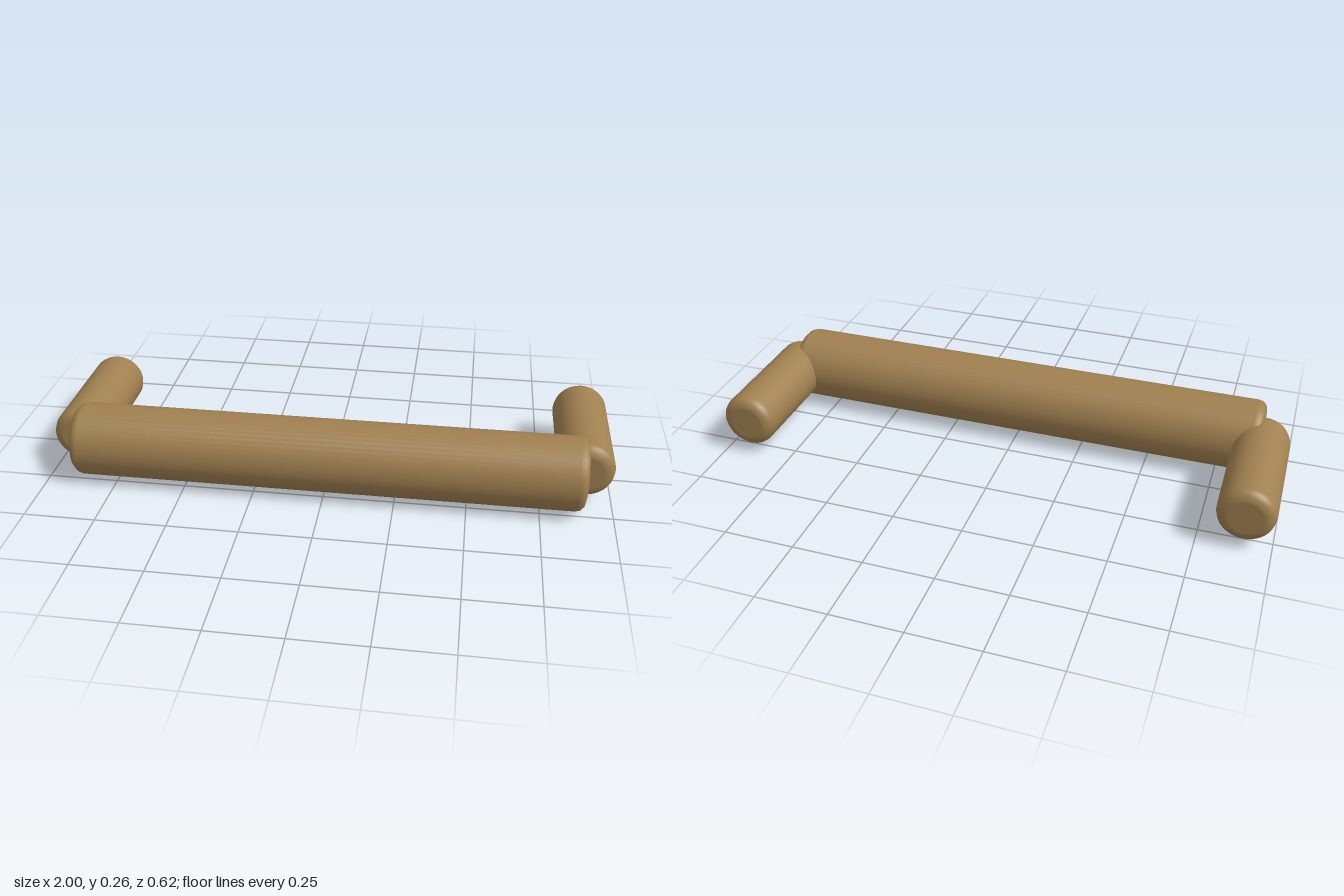
import * as THREE from 'three';

const AXIS_Y = 0.132; // height shared by the bar and both posts
const BAR_Z = 0.182;

// Solid rod along y with softly rounded rims
function roundedRod(radius, length, bevel) {
  const half = length / 2;
  const rim = [];
  for (let i = 0; i <= 3; i++) {
    const a = (i / 3) * Math.PI / 2;
    rim.push([radius - bevel + bevel * Math.cos(a), half - bevel + bevel * Math.sin(a)]);
  }
  const top = [...rim, [radius - bevel - 0.004, half], [0, half]];
  const bottom = top.map(([r, y]) => [r, -y]).reverse();
  const profile = [...bottom, ...top].map(([r, y]) => new THREE.Vector2(r, y));
  return new THREE.LatheGeometry(profile, 48);
}

export function createModel() {
  const group = new THREE.Group();
  group.name = 'pullHandle';
  const brass = new THREE.MeshStandardMaterial({ color: 0xa08050 });
  brass.name = 'brass';

  // Grip bar across the front
  const bar = new THREE.Mesh(roundedRod(0.13, 1.8, 0.032).rotateZ(-Math.PI / 2), brass);
  bar.name = 'gripBar';
  bar.position.set(0, AXIS_Y, BAR_Z);
  group.add(bar);

  // Mounting posts running back from the bar ends
  const postGeometry = roundedRod(0.098, 0.492, 0.033).rotateX(Math.PI / 2);
  for (const side of [-1, 1]) {
    const post = new THREE.Mesh(postGeometry, brass);
    post.name = side > 0 ? 'leftPost' : 'rightPost';
    post.position.set(side * 0.902, AXIS_Y, -0.066);
    group.add(post);
  }
  return group;
}
